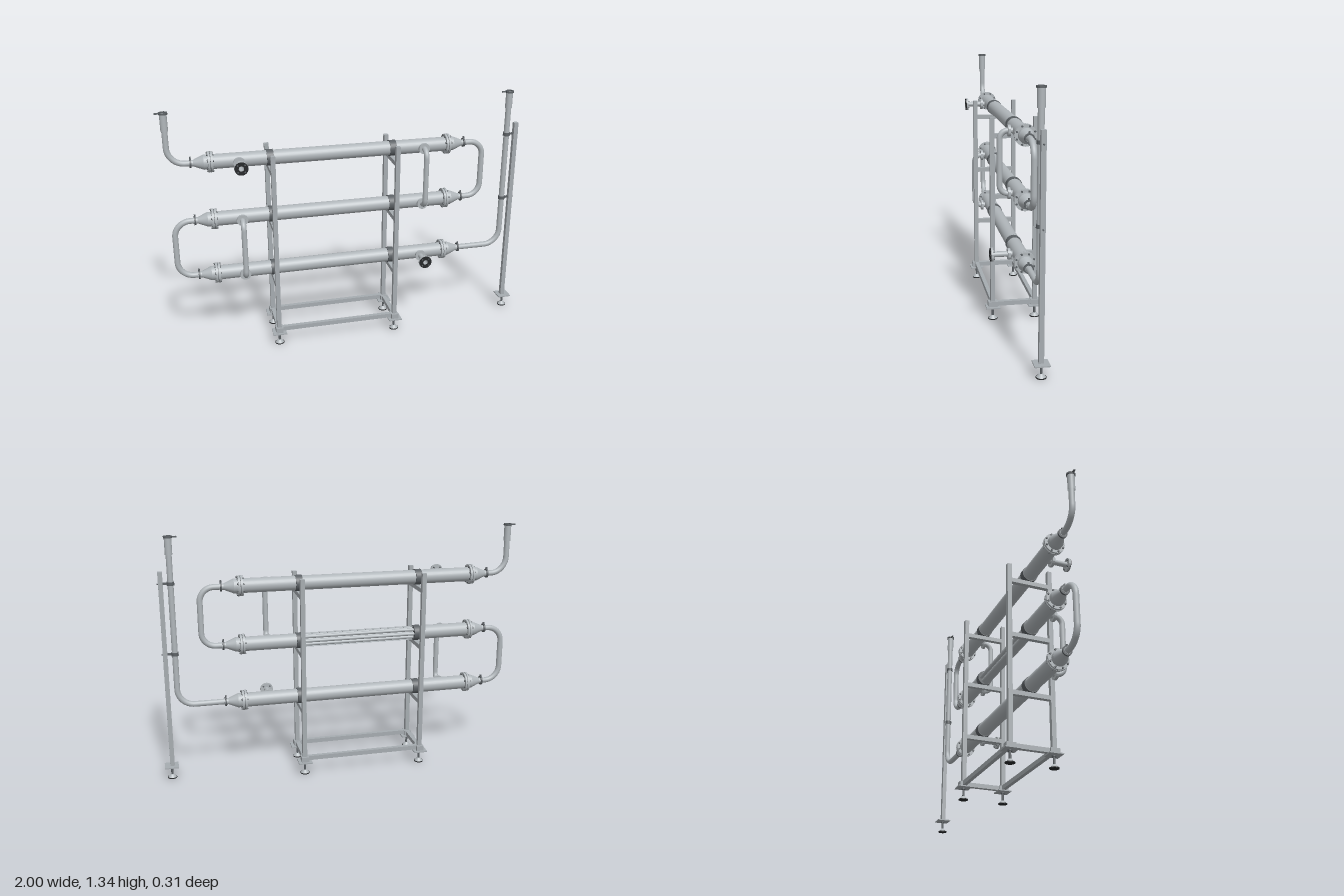
import * as THREE from 'three';
import { toCreasedNormals } from 'three/addons/utils/BufferGeometryUtils.js';

const mat = (name, color, side = THREE.FrontSide) => {
  const m = new THREE.MeshStandardMaterial({ color, side });
  m.name = name;
  return m;
};

export function createModel() {
  const root = new THREE.Group();
  root.name = 'tubeHeatExchanger';
  const steel = mat('steel', 0xb0b6ba, THREE.DoubleSide);
  const frameGrey = mat('frameGrey', 0xa6acb0);
  const darkSteel = mat('darkSteel', 0x5c6165);
  const black = mat('blackRubber', 0x26282a);

  const add = (name, geo, material, x = 0, y = 0, z = 0, parent = root) => {
    const m = new THREE.Mesh(geo, material);
    m.name = name;
    m.position.set(x, y, z);
    parent.add(m);
    return m;
  };
  const box = (name, w, h, d, x, y, z, material = frameGrey) =>
    add(name, new THREE.BoxGeometry(w, h, d), material, x, y, z);
  // Cylinder along an axis; r2 is the radius at the positive end
  const rod = (name, axis, r1, r2, len, x, y, z, material = steel, open = false) => {
    const g = new THREE.CylinderGeometry(r2, r1, len, 28, 1, open);
    if (axis === 'x') g.rotateZ(-Math.PI / 2);
    if (axis === 'z') g.rotateX(Math.PI / 2);
    return add(name, g, material, x, y, z);
  };
  // Flat ring with a bore, centred on the given point
  const ring = (name, axis, r, bore, len, x, y, z, material = steel) => {
    const s = new THREE.Shape().absarc(0, 0, r, 0, Math.PI * 2);
    s.holes.push(new THREE.Path().absarc(0, 0, bore, 0, Math.PI * 2, true));
    let g = new THREE.ExtrudeGeometry(s, { depth: len, bevelEnabled: false, curveSegments: 28 });
    g.translate(0, 0, -len / 2);
    g = toCreasedNormals(g, 0.6);
    if (axis === 'x') g.rotateY(Math.PI / 2);
    if (axis === 'y') g.rotateX(-Math.PI / 2);
    return add(name, g, material, x, y, z);
  };
  // Pipe through corner points with rounded bends
  const pipe = (name, pts, bend, r) => {
    const p = pts.map((a) => new THREE.Vector3(...a));
    const path = new THREE.CurvePath();
    let from = p[0];
    for (let i = 1; i < p.length - 1; i++) {
      const toPrev = p[i - 1].clone().sub(p[i]).normalize();
      const toNext = p[i + 1].clone().sub(p[i]).normalize();
      const at = (d, t) => p[i].clone().addScaledVector(d, t);
      const a = at(toPrev, bend), b = at(toNext, bend);
      path.add(new THREE.LineCurve3(from, a));
      path.add(new THREE.CubicBezierCurve3(a, at(toPrev, bend * 0.448), at(toNext, bend * 0.448), b));
      from = b;
    }
    path.add(new THREE.LineCurve3(from, p[p.length - 1]));
    add(name, new THREE.TubeGeometry(path, 90, r, 18, false), steel);
  };

  const levels = [0.42, 0.74, 1.06];
  const xL = -0.74, xR = 0.55, R = 0.039;
  const postX = [-0.43, 0.238], postZ = 0.115;

  // Shell tubes; the middle one is opened at the back between the saddles
  levels.forEach((y, i) => {
    if (i !== 1) {
      rod('shellTube', 'x', R, R, xR - xL, (xL + xR) / 2, y, 0);
      return;
    }
    const [a, b] = postX;
    rod('shellTube', 'x', R, R, a - xL, (a + xL) / 2, y, 0);
    rod('shellTube', 'x', R, R, xR - b, (b + xR) / 2, y, 0);
    const cut = 2.5, mid = -Math.PI + 0.05;
    const g = new THREE.CylinderGeometry(R, R, b - a, 28, 1, true, mid + cut / 2, Math.PI * 2 - cut);
    // Turn the axis to x, so the opening faces the back
    g.rotateZ(-Math.PI / 2);
    add('openShell', g, steel, (a + b) / 2, y, 0);
    for (let k = 0; k < 7; k++) {
      const t = (k * Math.PI) / 3, d = k < 6 ? 0.024 : 0;
      rod('innerTube', 'x', 0.0095, 0.0095, b - a, (a + b) / 2, y + d * Math.sin(t), d * Math.cos(t));
    }
  });

  // Bolted flanges, reducers and pipe clamps at both tube ends
  for (const y of levels) {
    for (const [x, s] of [[xL, -1], [xR, 1]]) {
      for (const o of [-0.007, 0.007]) rod('tubeFlange', 'x', 0.055, 0.055, 0.011, x + o, y, 0);
      rod('flangeGasket', 'x', 0.052, 0.052, 0.004, x, y, 0, darkSteel);
      for (let k = 0; k < 8; k++) {
        const t = ((k + 0.5) * Math.PI) / 4;
        rod('flangeBolt', 'x', 0.005, 0.005, 0.036, x, y + 0.048 * Math.sin(t), 0.048 * Math.cos(t), darkSteel);
      }
      rod('reducerNeck', 'x', R, R, 0.024, x + s * 0.022, y, 0);
      const [r1, r2] = s > 0 ? [R, 0.017] : [0.017, R];
      rod('reducer', 'x', r1, r2, 0.052, x + s * 0.06, y, 0);
      rod('ferrule', 'x', 0.017, 0.017, 0.024, x + s * 0.096, y, 0);
      rod('pipeClamp', 'x', 0.025, 0.025, 0.009, x + s * 0.1, y, 0, darkSteel);
      box('clampWing', 0.008, 0.014, 0.008, x + s * 0.1, y + 0.027, 0, darkSteel);
    }
  }

  // Product pipes: inlet, return bends and outlet
  const [y0, y1, y2] = levels, top = 1.33;
  const pr = 0.0155, left = xL - 0.1, right = xR + 0.1;
  pipe('inletPipe', [[left, y2, 0], [-0.955, y2, 0], [-0.955, top, 0]], 0.09, pr);
  pipe('rightReturnBend', [[right, y2, 0], [0.763, y2, 0], [0.763, y1, 0], [right, y1, 0]], 0.075, pr);
  pipe('leftReturnBend', [[left, y1, 0], [-0.95, y1, 0], [-0.95, y0, 0], [left, y0, 0]], 0.085, pr);
  pipe('outletPipe', [[right, y0, 0], [0.906, y0, 0], [0.906, top, 0]], 0.09, pr);
  for (const x of [-0.955, 0.906]) {
    rod('pipeSleeve', 'y', 0.019, 0.019, 0.09, x, 1.285, 0, steel, true);
    ring('pipeEndFlange', 'y', 0.023, 0.0155, 0.01, x, 1.331, 0, darkSteel);
    box('endClampWing', 0.024, 0.007, 0.008, x - 0.032, 1.331, 0, darkSteel);
  }

  // Jumper pipes joining neighbouring shells at the front
  for (const [x, a, b] of [[-0.595, y0, y1], [0.405, y1, y2]]) {
    pipe('jumperPipe', [[x, a, 0.03], [x, a, 0.103], [x, b, 0.103], [x, b, 0.03]], 0.042, 0.0145);
    for (const y of [a, b]) ring('jumperFlange', 'z', 0.03, 0.012, 0.014, x, y, 0.056);
  }

  // Service nozzles with dark flange faces
  for (const [x, y] of [[-0.595, y2], [0.405, y0]]) {
    rod('nozzlePipe', 'z', 0.0145, 0.0145, 0.12, x, y, 0.09, steel, true);
    ring('nozzleInnerFlange', 'z', 0.03, 0.012, 0.014, x, y, 0.056);
    ring('nozzleFlange', 'z', 0.036, 0.0145, 0.011, x, y, 0.144);
    ring('nozzleGasket', 'z', 0.035, 0.014, 0.003, x, y, 0.151, black);
    for (let k = 0; k < 4; k++) {
      const t = ((k + 0.5) * Math.PI) / 2;
      rod('nozzleBolt', 'z', 0.004, 0.004, 0.022, x + 0.026 * Math.cos(t), y + 0.026 * Math.sin(t), 0.143, darkSteel);
    }
  }

  // Adjustable foot with its base plate
  const foot = (x, z) => {
    box('basePlate', 0.075, 0.006, 0.075, x, 0.07, z);
    rod('footStem', 'y', 0.006, 0.006, 0.06, x, 0.04, z, darkSteel);
    rod('footNut', 'y', 0.011, 0.011, 0.008, x, 0.063, z, darkSteel);
    rod('footPad', 'y', 0.024, 0.009, 0.017, x, 0.0125, z);
    rod('footSole', 'y', 0.025, 0.025, 0.005, x, 0.0025, z, black);
  };

  // Frame: posts, cross bars, saddles and bottom rails
  for (const x of postX) {
    for (const z of [-postZ, postZ]) {
      box('framePost', 0.024, 1.03, 0.024, x, 0.587, z);
      box('postSocket', 0.04, 0.028, 0.05, x, 0.087, z);
      foot(x, z);
    }
    box('bottomCrossBar', 0.024, 0.024, 2 * postZ, x, 0.087, 0);
    for (const y of levels) {
      box('crossBar', 0.024, 0.024, 2 * postZ, x, y - 0.055, 0);
      rod('tubeSaddle', 'x', 0.043, 0.043, 0.036, x, y, 0, darkSteel);
    }
  }
  for (const z of [-postZ, postZ])
    box('bottomRail', postX[1] - postX[0], 0.024, 0.022, (postX[0] + postX[1]) / 2, 0.09, z);

  // Separate stand holding the outlet pipe
  const sx = 0.957;
  box('standPost', 0.024, 1.08, 0.024, sx, 0.613, 0);
  foot(sx + 0.004, 0);
  for (const y of [0.71, 1.09]) {
    rod('pipeBracketRing', 'y', 0.0195, 0.0195, 0.018, 0.906, y, 0, darkSteel);
    box('pipeBracketArm', 0.03, 0.01, 0.012, 0.93, y, 0, darkSteel);
    rod('bracketBolt', 'x', 0.004, 0.004, 0.05, 0.951, y, 0, darkSteel);
  }
  return root;
}
